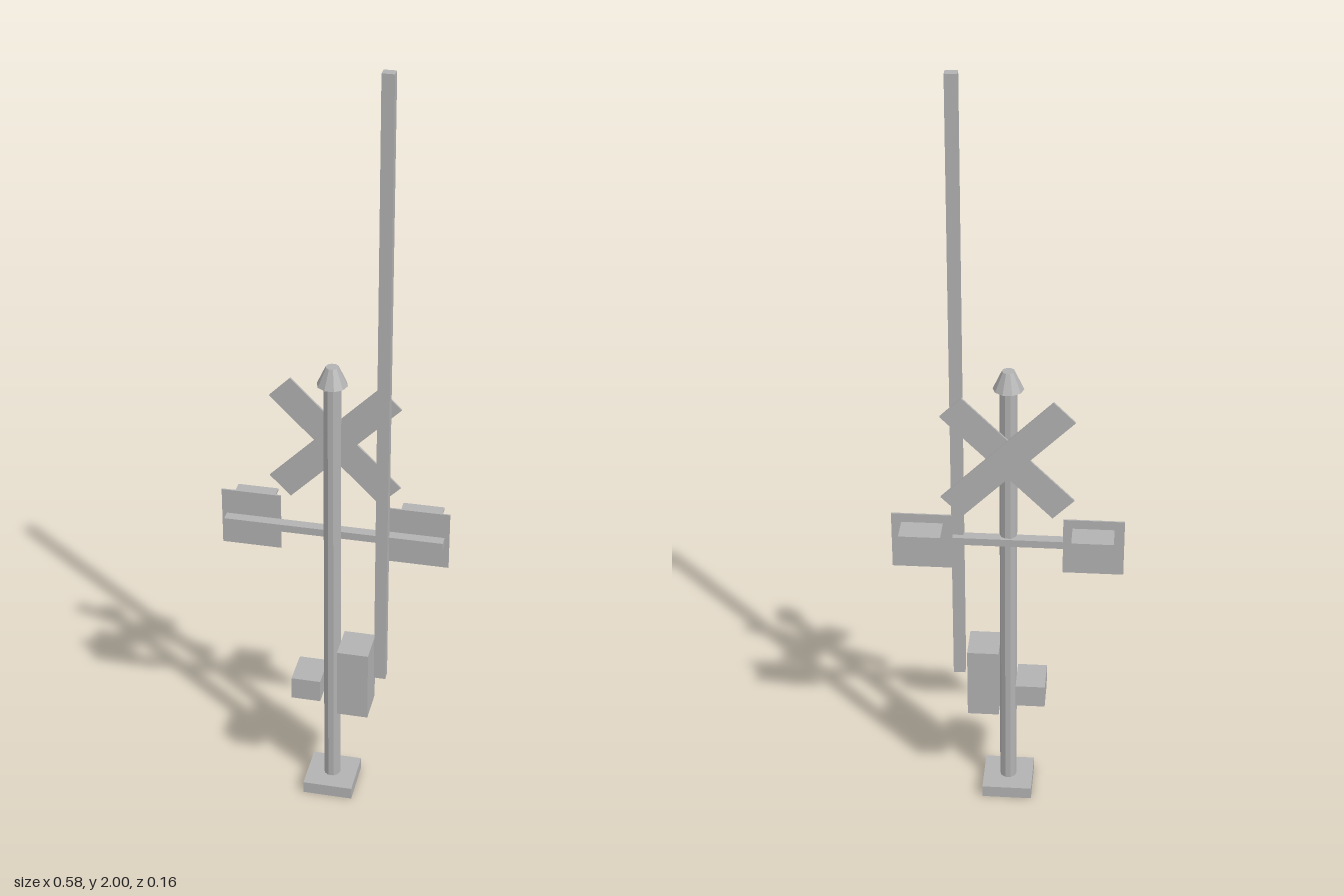
import * as THREE from 'three';

const POST_Z = 0.015;

export function createModel() {
  const model = new THREE.Group();
  model.name = 'crossingSignal';
  const grey = new THREE.MeshStandardMaterial({ color: 0xb2b2b2, flatShading: true });
  grey.name = 'grey';

  const add = (name, geometry) => {
    const mesh = new THREE.Mesh(geometry, grey);
    mesh.name = name;
    model.add(mesh);
    return mesh;
  };
  // Box given by its lower and upper corners
  const box = (name, x0, x1, y0, y1, z0, z1) => {
    const mesh = add(name, new THREE.BoxGeometry(x1 - x0, y1 - y0, z1 - z0));
    mesh.position.set((x0 + x1) / 2, (y0 + y1) / 2, (z0 + z1) / 2);
    return mesh;
  };
  // Ten-sided upright column with corners on the x axis
  const column = (name, rTop, rBottom, y0, y1) => {
    const geometry = new THREE.CylinderGeometry(rTop, rBottom, y1 - y0, 10);
    geometry.rotateY(Math.PI / 2);
    add(name, geometry).position.set(0, (y0 + y1) / 2, POST_Z);
  };

  // Foot, post and cap
  box('base', -0.065, 0.065, 0, 0.033, -0.05, 0.08);
  column('post', 0.022, 0.022, 0.033, 1.215);
  column('cap', 0.016, 0.038, 1.212, 1.26);

  // Crossed boards, one just behind the other
  for (const [side, z] of [[1, -0.015], [-1, -0.021]]) {
    const board = add('crossBoard', new THREE.BoxGeometry(0.39, 0.075, 0.006));
    board.position.set(0, 1.034, z);
    board.rotation.z = side * Math.PI / 4;
  }

  // Lamp bar with a backing panel and visor on each end
  box('lampBar', -0.278, 0.278, 0.777, 0.797, -0.012, 0.015);
  for (const side of [-1, 1]) {
    const panel = box('lampPanel', 0.138, 0.29, 0.71, 0.865, -0.016, -0.012);
    const visor = box('lampVisor', 0.161, 0.265, 0.835, 0.841, -0.083, -0.016);
    panel.position.x *= side;
    visor.position.x *= side;
  }

  // Raised barrier arm, its drive box and the counterweight
  box('barrierArm', 0.112, 0.142, 0.37, 2, 0.003, 0.028);
  box('driveBox', 0.022, 0.103, 0.265, 0.46, -0.034, 0.063);
  box('counterweight', -0.098, -0.022, 0.298, 0.36, -0.034, 0.063);

  return model;
}
